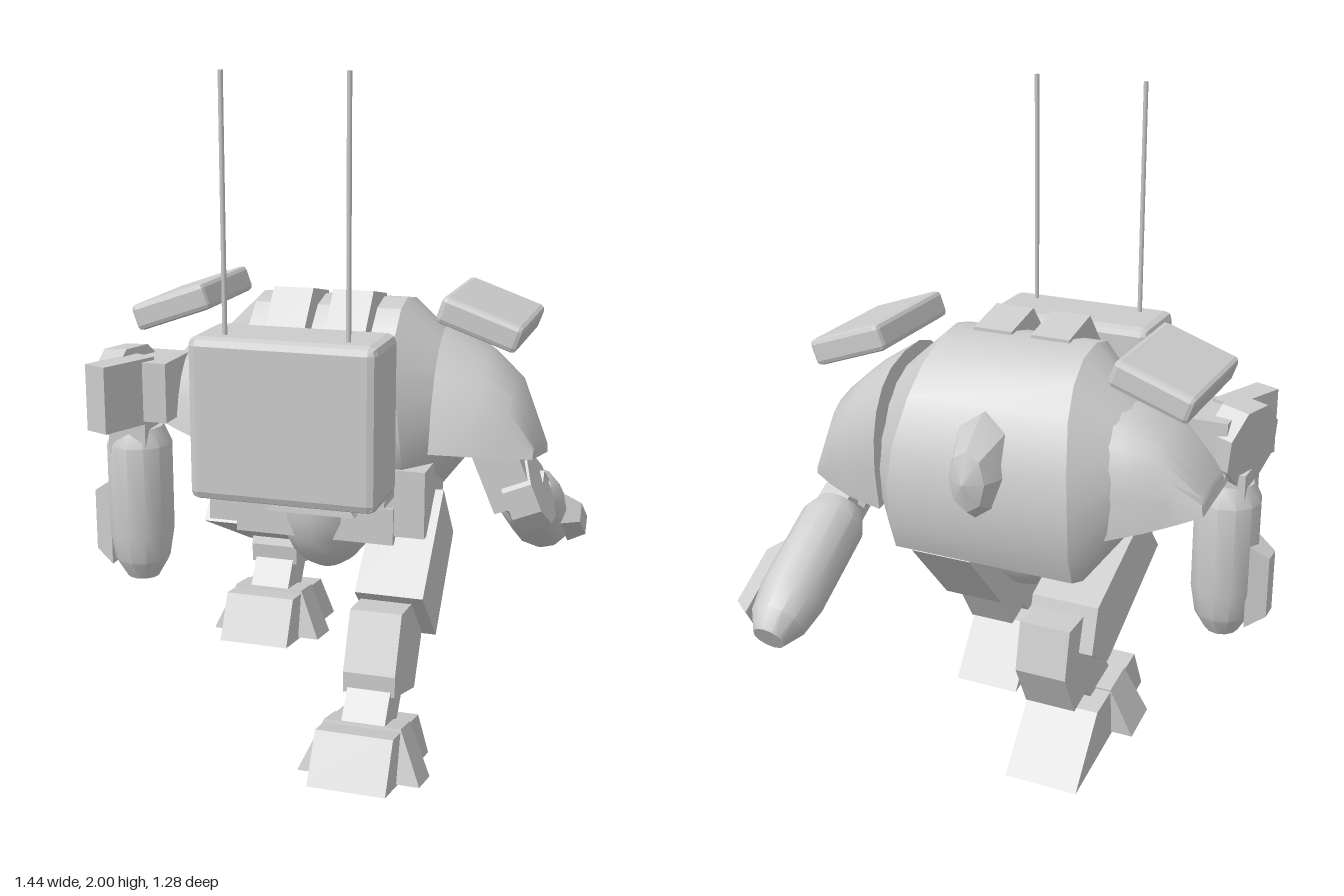
import * as THREE from 'three';
import { toCreasedNormals } from 'three/addons/utils/BufferGeometryUtils.js';
import { RoundedBoxGeometry } from 'three/addons/geometries/RoundedBoxGeometry.js';

export function createModel() {
  const root = new THREE.Group();
  root.name = 'walkerRobot';
  const grey = new THREE.MeshStandardMaterial({ color: 0xcccccc });
  grey.name = 'armourGrey';

  const add = (name, geo, pos = [0, 0, 0], rot = [0, 0, 0], parent = root) => {
    const m = new THREE.Mesh(geo, grey);
    m.name = name;
    m.position.set(...pos);
    m.rotation.set(...rot);
    parent.add(m);
    return m;
  };
  const box = (w, h, d) => new THREE.BoxGeometry(w, h, d);
  const bevelBox = (w, h, d, r) => {
    const g = new RoundedBoxGeometry(w, h, d, 1, r);
    g.computeVertexNormals();
    return g;
  };
  // Box whose top is a different size from its base
  const taperBox = (w, h, d, tw, td) => {
    const g = box(w, h, d).toNonIndexed(), p = g.attributes.position;
    for (let i = 0; i < p.count; i++) {
      if (p.getY(i) > 0) {
        p.setX(i, Math.sign(p.getX(i)) * tw / 2);
        p.setZ(i, Math.sign(p.getZ(i)) * td / 2);
      }
    }
    g.computeVertexNormals();
    return g;
  };
  // Side profile given as [z, y], extruded across x
  const slab = (pts, w) => {
    const shape = new THREE.Shape(pts.map(([z, y]) => new THREE.Vector2(z, y)));
    const g = new THREE.ExtrudeGeometry(shape, { depth: w, bevelEnabled: false });
    return g.rotateY(-Math.PI / 2).translate(w / 2, 0, 0);
  };
  // Lathe from [radius, y] points, with sharp edges kept
  const turned = (pts, sides, crease) => toCreasedNormals(
    new THREE.LatheGeometry(pts.map(([r, y]) => new THREE.Vector2(r, y)), sides), crease);
  // Skin closed rings ([x, y, z] points, front-top-back-bottom) that run along +x
  const loft = (rings, crease) => {
    const n = rings[0].length, pos = rings.flat(2), idx = [];
    for (let i = 0; i < rings.length - 1; i++) {
      for (let j = 0; j < n; j++) {
        const a = i * n + j, b = i * n + (j + 1) % n;
        idx.push(a, a + n, b + n, a, b + n, b);
      }
    }
    [rings[0], rings[rings.length - 1]].forEach((ring, end) => {
      const c = [0, 1, 2].map(k => ring.reduce((s, p) => s + p[k], 0) / n);
      const ci = pos.length / 3, o = end ? (rings.length - 1) * n : 0;
      pos.push(...c);
      for (let j = 0; j < n; j++) {
        const a = o + j, b = o + (j + 1) % n;
        idx.push(ci, end ? b : a, end ? a : b);
      }
    });
    const g = new THREE.BufferGeometry();
    g.setAttribute('position', new THREE.Float32BufferAttribute(pos, 3));
    g.setIndex(idx);
    return toCreasedNormals(g, crease);
  };

  // Barrel-shaped hull with chamfered ends, narrower towards its top and front
  const hull = [[0.16, 1.06], [0.14, 1.17], [0.09, 1.26], [0.02, 1.325], [-0.06, 1.345], [-0.16, 1.33],
    [-0.25, 1.28], [-0.32, 1.2], [-0.38, 1.07], [-0.4, 0.95], [-0.39, 0.82], [-0.36, 0.74], [-0.28, 0.71],
    [-0.1, 0.72], [0.06, 0.78], [0.14, 0.88], [0.16, 0.97]];
  const hullRing = (x, size) => hull.map(([z, y]) => {
    const narrow = size < 1 ? 0 : 0.06 * Math.max(0, (y - 1) / 0.35) + 0.15 * Math.max(0, z);
    return [x - Math.sign(x) * narrow, 1.01 + (y - 1.01) * size, -0.15 + (z + 0.15) * size];
  });
  add('hull', loft([hullRing(-0.38, 0.56), hullRing(-0.28, 1), hullRing(0.28, 1), hullRing(0.38, 0.56)], 0.5));
  const nose = turned([[0.1, -0.06], [0.1, 0.02], [0.055, 0.12], [0, 0.148]], 8, 0.6);
  add('noseBulge', nose.rotateX(-Math.PI / 2).scale(1, 1.65, 1), [0, 1.03, -0.325]);

  // Large box, its mount and antennas
  add('equipmentBox', bevelBox(0.535, 0.46, 0.235, 0.025), [0, 1.07, 0.343]);
  add('boxMount', box(0.4, 0.3, 0.14), [0, 0.96, 0.17]);
  for (const s of [-1, 1]) {
    add('mountBracket', box(0.08, 0.06, 0.12), [s * 0.2, 0.83, 0.2]);
    add('antenna', new THREE.CylinderGeometry(0.007, 0.007, 0.72, 6), [s * 0.175, 1.64, 0.4]);
    add('topPod', slab([[-0.09, 1.28], [-0.09, 1.35], [0.06, 1.38], [0.21, 1.2],
      [0.21, 1.05], [0.1, 1]], 0.12), [s * 0.09, 0, 0]);
  }

  // Pelvis and hips
  add('pelvis', new THREE.SphereGeometry(1, 16, 12).scale(0.16, 0.25, 0.2), [0, 0.77, 0]);
  add('hipBar', box(0.48, 0.11, 0.2), [0, 0.71, 0.06]);
  add('tailPlate', taperBox(0.27, 0.1, 0.1, 0.16, 0.08), [0, 0.79, 0.15]);

  // Shoulders: tapering domes open towards the arms, with a tilted plate above
  const domeRing = (x, hw, h, zc) => Array.from({ length: 13 }, (_, i) => {
    const a = Math.PI * i / 12, c = Math.cos(a);
    return [x, h * Math.pow(Math.max(0, Math.sin(a)), 0.8), zc + Math.sign(c) * hw * Math.pow(Math.abs(c), 0.8)];
  });
  const dome = (s, wide) => {
    const rings = [[0, 0.26, 0.39], [0.12, 0.23, 0.31], [0.21, 0.19, 0.23], [0.28, 0.15, 0.05]]
      .map(([x, w, h]) => domeRing(s * x, w * wide, h, 0));
    return loft(s < 0 ? rings.reverse() : rings, 0.65);
  };
  add('leftShoulder', dome(1, 1), [0.34, 0.89, -0.09], [-0.19, 0, 0]);
  add('rightShoulder', dome(-1, 0.85), [-0.34, 0.88, -0.09], [-0.1, 0, -0.3]);
  for (const s of [-1, 1]) {
    add('shoulderPlate', bevelBox(0.245, 0.08, 0.39, 0.015), [s * 0.465, 1.306, -0.09], [0, 0, -s * 0.34]);
  }

  // Forearm gun, muzzle along local -y
  const makeGun = (name, side, pos, rotX) => {
    const gun = new THREE.Group();
    gun.name = name;
    add('gunBarrel', turned([[0, -0.25], [0.05, -0.25], [0.085, -0.19], [0.1, -0.1], [0.1, 0.18],
      [0.075, 0.235], [0, 0.235]], 12, 0.55), [0, 0, 0], [0, 0, 0], gun);
    add('gunSideBox', taperBox(0.27, 0.06, 0.1, 0.19, 0.06), [side * 0.112, -0.075, 0], [0, 0, -side * Math.PI / 2], gun);
    gun.position.set(...pos);
    gun.rotation.x = rotX;
    root.add(gun);
  };
  const disc = (r, w) => toCreasedNormals(
    new THREE.CylinderGeometry(r, r, w, 8).rotateY(Math.PI / 8).rotateZ(Math.PI / 2), 0.3);

  // Left arm, pointing backwards
  add('leftUpperArm', box(0.13, 0.2, 0.18), [0.53, 0.85, -0.07], [0, 0, 0.4]);
  add('leftElbow', disc(0.11, 0.09), [0.59, 0.78, -0.07], [0, 0, 0.4]);
  add('leftForearm', box(0.1, 0.13, 0.16), [0.58, 0.74, -0.16], [-0.5, 0, 0]);
  makeGun('leftGun', 1, [0.57, 0.62, -0.4], Math.PI / 3);

  // Right arm, bent with the gun hanging down
  add('rightUpperArm', box(0.15, 0.18, 0.2), [-0.53, 1.06, 0.07]);
  add('rightElbow', disc(0.125, 0.09), [-0.61, 1.06, 0.08], [0, -0.3, 0.1]);
  add('rightForearm', box(0.08, 0.2, 0.2), [-0.585, 1.06, 0.2], [0, -0.4, 0]);
  add('rightWrist', box(0.12, 0.12, 0.14), [-0.59, 0.92, 0.09]);
  makeGun('rightGun', -1, [-0.585, 0.7, 0.08], 0);

  // Lower legs share one shape; the right one is lifted and stepped back
  const makeLowerLeg = (name, pos, rotX) => {
    const leg = new THREE.Group();
    leg.name = name;
    const none = [0, 0, 0];
    add('shin', slab([[0.41, 0.36], [0.34, 0.52], [0.12, 0.5], [0.1, 0.36], [0.18, 0.23], [0.41, 0.3]], 0.15), none, none, leg);
    add('ankle', slab([[0.5, 0.2], [0.39, 0.34], [0.25, 0.3], [0.36, 0.17]], 0.125), none, none, leg);
    add('foot', slab([[0.64, 0.12], [0.56, 0.25], [0.27, 0.19], [0.13, 0]], 0.22), none, none, leg);
    add('footFlare', taperBox(0.35, 0.15, 0.13, 0.22, 0.11), [0, 0.156, 0.44], [-0.235, 0, 0], leg);
    leg.position.set(...pos);
    leg.rotation.x = rotX;
    root.add(leg);
  };
  makeLowerLeg('leftLowerLeg', [0.24, 0, 0], 0);
  makeLowerLeg('rightLowerLeg', [-0.245, 0.16, -0.625], 0.08);

  // Thighs and hip blocks
  add('leftThigh', slab([[0.26, 0.54], [0.01, 0.79], [-0.14, 0.61], [0.08, 0.36]], 0.2), [0.255, 0, 0]);
  add('rightThigh', slab([[0.12, 0.66], [-0.02, 0.82], [-0.36, 0.68], [-0.4, 0.55], [-0.28, 0.47]], 0.2), [-0.26, 0, 0]);
  for (const s of [-1, 1]) add('hipBlock', box(0.15, 0.2, 0.24), [s * 0.255, 0.78, 0.03]);

  return root;
}
